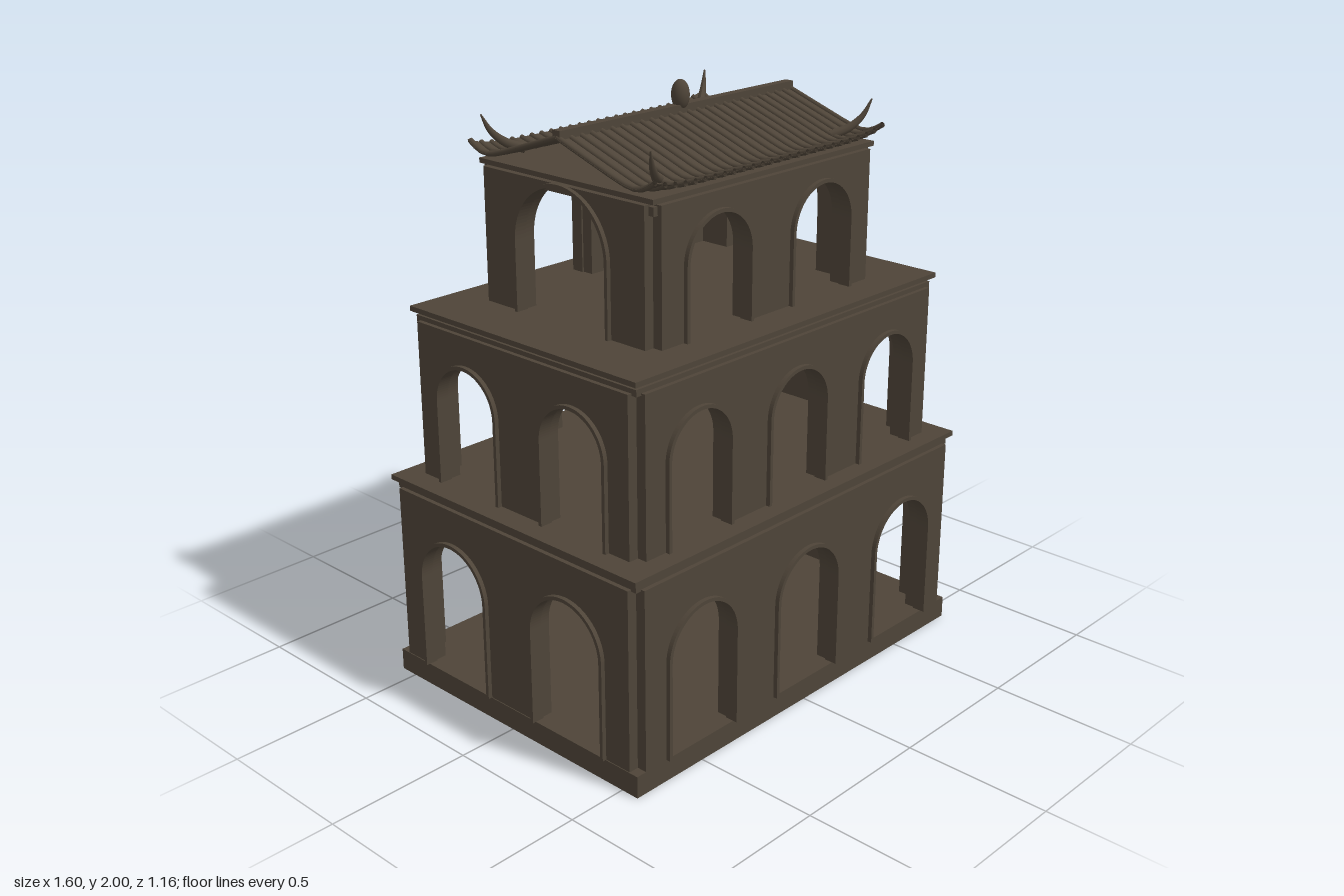
import * as THREE from 'three';

const stone = new THREE.MeshStandardMaterial({ color: 0x4e4438, side: THREE.DoubleSide });
stone.name = 'weathered stone';

const THICK = 0.07; // wall thickness
const NOTCH = 0.035; // recess at the tower corners
const TRIM = 0.015; // how far arch trims stand out

function add(parent, name, geometry, x = 0, y = 0, z = 0) {
  const mesh = new THREE.Mesh(geometry, stone);
  mesh.name = name;
  mesh.position.set(x, y, z);
  parent.add(mesh);
  return mesh;
}

function slab(parent, name, halfX, halfZ, y0, y1) {
  return add(parent, name, new THREE.BoxGeometry(halfX * 2, y1 - y0, halfZ * 2), 0, (y0 + y1) / 2, 0);
}

// Wall outline with round-headed openings cut up from its foot
function wallGeometry(half, y0, y1, centres, r, spring) {
  const s = new THREE.Shape();
  s.moveTo(-half, y0);
  for (const c of centres) {
    s.lineTo(c - r, y0);
    s.lineTo(c - r, spring);
    s.absarc(c, spring, r, Math.PI, 0, true);
    s.lineTo(c + r, y0);
  }
  s.lineTo(half, y0);
  s.lineTo(half, y1);
  s.lineTo(-half, y1);
  s.closePath();
  return new THREE.ExtrudeGeometry(s, { depth: THICK, bevelEnabled: false, curveSegments: 24 });
}

// Narrow raised band around one opening
function trimGeometry(c, y0, r, spring) {
  const o = r + 0.006, i = r - 0.006;
  const s = new THREE.Shape();
  s.moveTo(c - o, y0);
  s.lineTo(c - o, spring);
  s.absarc(c, spring, o, Math.PI, 0, true);
  s.lineTo(c + o, y0);
  s.lineTo(c + i, y0);
  s.lineTo(c + i, spring);
  s.absarc(c, spring, i, 0, Math.PI, false);
  s.lineTo(c - i, y0);
  s.closePath();
  return new THREE.ExtrudeGeometry(s, { depth: 0.03 + TRIM, bevelEnabled: false, curveSegments: 24 });
}

// One wall facing +z before it is turned by angle
function archedWall(parent, name, angle, half, dist, y0, y1, arches) {
  const wall = new THREE.Group();
  wall.name = name;
  wall.rotation.y = angle;
  const { centres, r, spring } = arches;
  add(wall, 'archedWall', wallGeometry(half - NOTCH, y0, y1, centres, r, spring), 0, 0, dist - THICK);
  for (const c of centres) add(wall, 'archTrim', trimGeometry(c, y0, r, spring), 0, 0, dist - 0.03);
  parent.add(wall);
}

const TIERS = [
  {
    name: 'lowerTier', x: 0.787, z: 0.565, y0: 0.075, y1: 0.688,
    front: { centres: [-0.503, 0, 0.503], r: 0.153, spring: 0.408 },
    side: { centres: [-0.265, 0.265], r: 0.158, spring: 0.408 },
    cornice: [0.772, 0.55, 0.682, 0.7], roof: [0.79, 0.565, 0.711, 0.728],
  },
  {
    name: 'middleTier', x: 0.72, z: 0.507, y0: 0.738, y1: 1.265,
    front: { centres: [-0.457, 0, 0.457], r: 0.139, spring: 1.024 },
    side: { centres: [-0.24, 0.24], r: 0.14, spring: 1.024 },
    cornice: [0.705, 0.492, 1.258, 1.28], roof: [0.72, 0.505, 1.293, 1.31],
  },
  {
    name: 'upperTier', x: 0.523, z: 0.385, y0: 1.315, y1: 1.755,
    front: { centres: [-0.243, 0.243], r: 0.145, spring: 1.55 },
    side: { centres: [0], r: 0.202, spring: 1.55 },
    cornice: [0.505, 0.37, 1.722, 1.75], roof: [0.515, 0.378, 1.76, 1.776],
  },
];

// Roof height: sagging slope, lifted towards the corners
const RX = 0.54, RZ = 0.4;
const slope = new THREE.SplineCurve(
  [[0, 1.9], [0.1, 1.866], [0.2, 1.832], [0.3, 1.798], [0.35, 1.793], [0.4, 1.805]].map(p => new THREE.Vector2(...p)));
function roofPoint(x, t, side) {
  const p = slope.getPoint(t);
  const lift = 0.03 * Math.pow(Math.abs(x) / RX, 8) * Math.pow(p.x / RZ, 6);
  return new THREE.Vector3(x, p.y + lift, p.x * side);
}

function roofGeometry() {
  const g = new THREE.PlaneGeometry(2 * RX, 2, 40, 32);
  const pos = g.attributes.position;
  for (let i = 0; i < pos.count; i++) {
    const v = pos.getY(i);
    const p = roofPoint(pos.getX(i), Math.abs(v), v > 0 ? -1 : 1);
    pos.setXYZ(i, p.x, p.y, p.z);
  }
  g.computeVertexNormals();
  return g;
}

// Tube that narrows to a blunt point at its far end
function hornGeometry(points, radius) {
  const curve = new THREE.CatmullRomCurve3(points);
  const rings = 12, sides = 8;
  const g = new THREE.TubeGeometry(curve, rings, radius, sides);
  const pos = g.attributes.position;
  const v = new THREE.Vector3();
  for (let i = 0; i < pos.count; i++) {
    const t = Math.floor(i / (sides + 1)) / rings;
    const c = curve.getPointAt(t);
    v.fromBufferAttribute(pos, i).sub(c).multiplyScalar(1 - 0.85 * t * t).add(c);
    pos.setXYZ(i, v.x, v.y, v.z);
  }
  g.computeVertexNormals();
  return g;
}

function buildRoof() {
  const roof = new THREE.Group();
  roof.name = 'tiledRoof';
  add(roof, 'roofSurface', roofGeometry());

  // Tile ribs running from ridge to eaves
  const RIBS = 26;
  for (const side of [-1, 1]) {
    for (let i = 0; i < RIBS; i++) {
      const x = -0.53 + (1.06 * i) / (RIBS - 1);
      const pts = Array.from({ length: 9 }, (_, k) => roofPoint(x, k / 8, side));
      add(roof, 'tileRib', new THREE.TubeGeometry(new THREE.CatmullRomCurve3(pts), 14, 0.009, 8));
    }
  }

  // Ridge beam and finial
  slab(roof, 'ridgeBeam', 0.535, 0.016, 1.893, 1.922);
  const finial = add(roof, 'finial', new THREE.SphereGeometry(0.03, 20, 14), 0, 1.951, 0);
  finial.scale.y = 0.049 / 0.03;

  // Upswept horns at the four corners
  for (const sx of [-1, 1]) {
    for (const sz of [-1, 1]) {
      const path = [[0.4, 1.8, 0.29], [0.45, 1.822, 0.325], [0.488, 1.86, 0.35], [0.512, 1.913, 0.366]]
        .map(([x, y, z]) => new THREE.Vector3(x * sx, y, z * sz));
      add(roof, 'cornerHorn', hornGeometry(path, 0.016));
    }
  }
  return roof;
}

export function createModel() {
  const model = new THREE.Group();
  model.name = 'arcadedTower';
  slab(model, 'base', 0.79, 0.565, 0, 0.075);

  for (const t of TIERS) {
    const tier = new THREE.Group();
    tier.name = t.name;
    archedWall(tier, 'frontWall', 0, t.x, t.z, t.y0, t.y1, t.front);
    archedWall(tier, 'backWall', Math.PI, t.x, t.z, t.y0, t.y1, t.front);
    archedWall(tier, 'leftWall', Math.PI / 2, t.z, t.x, t.y0, t.y1, t.side);
    archedWall(tier, 'rightWall', -Math.PI / 2, t.z, t.x, t.y0, t.y1, t.side);
    slab(tier, 'cornice', ...t.cornice);
    slab(tier, 'floorSlab', ...t.roof);
    model.add(tier);
  }

  model.add(buildRoof());
  return model;
}
